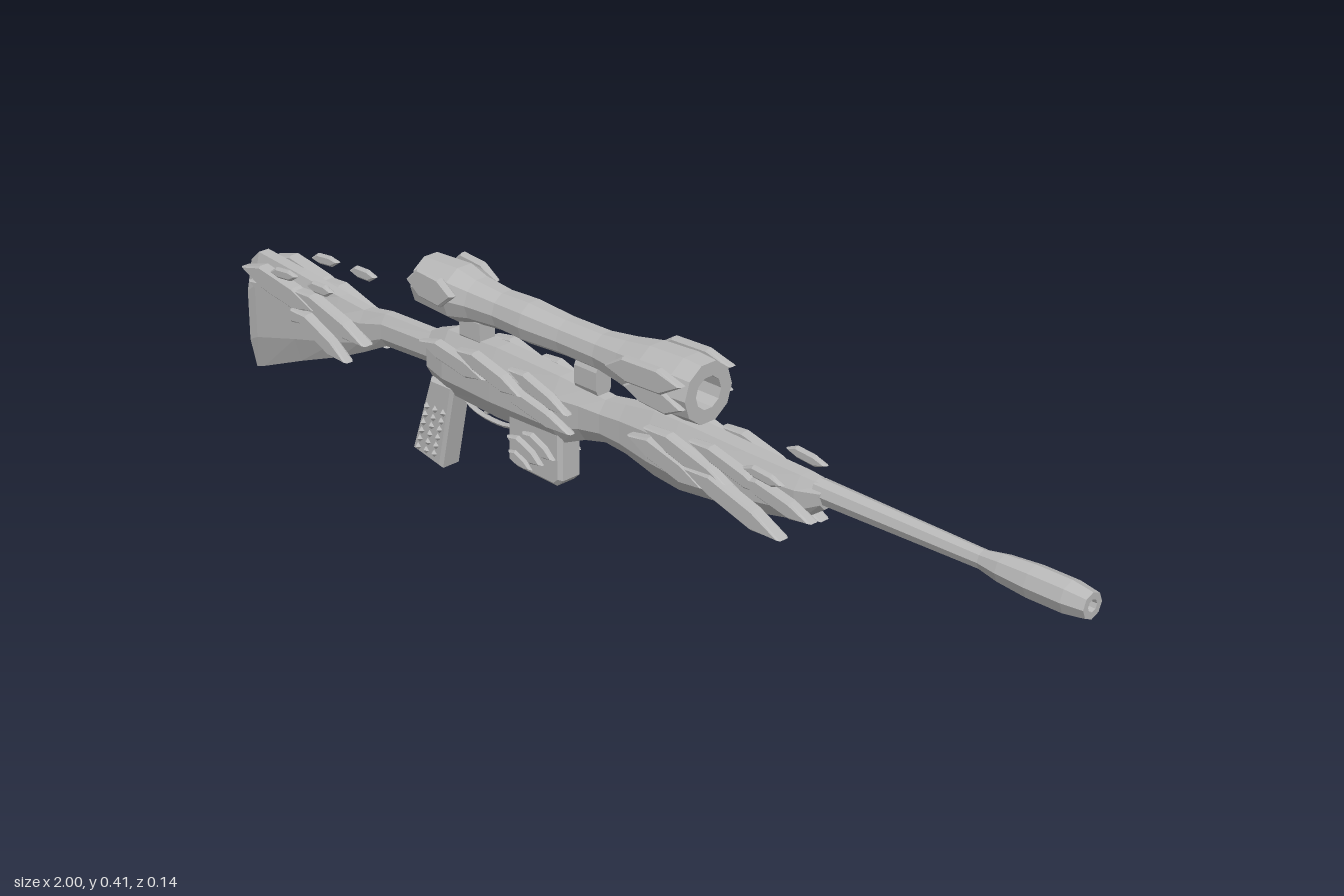
import * as THREE from 'three';

const gray = new THREE.MeshStandardMaterial({ color: 0xb8b8b8 });
gray.name = 'plain gray';
gray.flatShading = true;

function add(parent, name, geometry) {
  const mesh = new THREE.Mesh(geometry, gray);
  mesh.name = name;
  parent.add(mesh);
  return mesh;
}

// Eight-sided loft along x; each section is [x, bottom, top, half width]
function loft(sections) {
  const pos = [];
  const ring = ([x, y0, y1, w]) => {
    const c = (y0 + y1) / 2, h = (y1 - y0) / 2;
    return [[1, -0.45], [1, 0.45], [0.45, 1], [-0.45, 1], [-1, 0.45], [-1, -0.45], [-0.45, -1], [0.45, -1]]
      .map(([z, y]) => [x, c + y * h, z * w]);
  };
  const rings = sections.map(ring);
  const tri = (a, b, c) => pos.push(...a, ...b, ...c);
  for (let i = 0; i < rings.length - 1; i++) {
    for (let j = 0; j < 8; j++) {
      const k = (j + 1) % 8;
      const a = rings[i][j], b = rings[i][k], c = rings[i + 1][k], d = rings[i + 1][j];
      tri(a, d, c);
      tri(a, c, b);
    }
  }
  const first = rings[0], last = rings[rings.length - 1];
  for (let j = 1; j < 7; j++) {
    tri(first[0], first[j], first[j + 1]);
    tri(last[0], last[j + 1], last[j]);
  }
  const g = new THREE.BufferGeometry();
  g.setAttribute('position', new THREE.Float32BufferAttribute(pos, 3));
  g.computeVertexNormals();
  return g;
}

// Turned part along x; profile points are [x, radius]
function turned(profile, sides, y) {
  const g = new THREE.LatheGeometry(profile.map(([x, r]) => new THREE.Vector2(r, x)), sides);
  return g.rotateZ(-Math.PI / 2).translate(0, y, 0);
}

// Bevelled plate from an outline in x and y, between two depths
function plate(points, z0, z1, bevel) {
  const shape = new THREE.Shape(points.map(([x, y]) => new THREE.Vector2(x, y)));
  const g = new THREE.ExtrudeGeometry(shape, {
    depth: z1 - z0 - 2 * bevel, bevelEnabled: true, bevelThickness: bevel,
    bevelSize: bevel, bevelOffset: -bevel, bevelSegments: 1,
  });
  return g.translate(0, 0, z0 + bevel);
}

// Pointed leaf from tail to tip
function leafOutline(x0, y0, x1, y1, width) {
  const dx = x1 - x0, dy = y1 - y0, len = Math.hypot(dx, dy);
  const at = (t, s) => [x0 + dx * t - (dy / len) * s * width, y0 + dy * t + (dx / len) * s * width];
  return [at(0, 0), at(0.28, -0.42), at(0.72, -0.5), at(1, 0), at(0.7, 0.42), at(0.25, 0.5)];
}

function leafPair(parent, name, [x0, y0, x1, y1, width, z0, z1]) {
  const outline = leafOutline(x0, y0, x1, y1, width);
  add(parent, name + 'Left', plate(outline, z0, z1, 0.004));
  add(parent, name + 'Right', plate(outline, -z1, -z0, 0.004));
}

export function createModel() {
  const model = new THREE.Group();
  model.name = 'rifle';

  // Stock, receiver and fore-end
  add(model, 'stock', loft([
    [-1, 0.026, 0.25, 0.024], [-0.975, 0.035, 0.272, 0.026], [-0.86, 0.082, 0.262, 0.026],
    [-0.74, 0.128, 0.25, 0.025], [-0.67, 0.16, 0.244, 0.023], [-0.61, 0.19, 0.254, 0.021],
    [-0.46, 0.197, 0.258, 0.021],
  ]));
  add(model, 'receiver', loft([
    [-0.48, 0.172, 0.262, 0.026], [-0.43, 0.156, 0.28, 0.034], [-0.3, 0.15, 0.286, 0.037],
    [-0.14, 0.154, 0.282, 0.036], [-0.08, 0.18, 0.276, 0.031], [-0.03, 0.192, 0.272, 0.029],
    [0.02, 0.188, 0.28, 0.031], [0.09, 0.172, 0.292, 0.036], [0.15, 0.166, 0.293, 0.037],
    [0.3, 0.181, 0.288, 0.034], [0.42, 0.205, 0.286, 0.029], [0.47, 0.24, 0.283, 0.021],
  ]));

  // Barrel and hollow muzzle
  add(model, 'barrel', turned([[0.45, 0], [0.45, 0.022], [0.64, 0.019], [0.84, 0.016], [0.84, 0]], 8, 0.266));
  add(model, 'muzzle', turned([
    [0.78, 0.015], [0.83, 0.024], [0.89, 0.029], [0.96, 0.029], [1, 0.023],
    [1, 0.011], [0.9, 0.011], [0.9, 0],
  ], 8, 0.266));

  // Hollow scope and its mounts
  const scope = new THREE.Group();
  scope.name = 'scope';
  model.add(scope);
  add(scope, 'scopeTube', turned([
    [-0.49, 0.03], [-0.49, 0.05], [-0.4, 0.054], [-0.355, 0.043], [-0.29, 0.037], [-0.22, 0.04],
    [-0.13, 0.035], [-0.04, 0.036], [0.02, 0.044], [0.08, 0.055], [0.16, 0.059], [0.2, 0.056],
    [0.2, 0.03], [-0.49, 0.03],
  ], 10, 0.356));
  for (const x of [-0.37, -0.075]) {
    add(scope, 'scopeMount', loft([[x - 0.027, 0.262, 0.338, 0.018], [x + 0.027, 0.262, 0.338, 0.018]]));
  }
  leafPair(scope, 'rearScopeLeaf', [-0.492, 0.372, -0.37, 0.372, 0.058, 0.044, 0.06]);
  leafPair(scope, 'frontScopeLeaf', [0.02, 0.37, 0.2, 0.385, 0.048, 0.05, 0.068]);
  leafPair(scope, 'lowerScopeLeaf', [0.06, 0.345, 0.2, 0.342, 0.042, 0.05, 0.064]);

  // Grip with studded sides
  const grip = new THREE.Group();
  grip.name = 'grip';
  model.add(grip);
  add(grip, 'gripBody', plate([[-0.475, 0.175], [-0.53, 0.016], [-0.45, 0], [-0.412, 0.175]], -0.025, 0.025, 0.006));
  for (const side of [1, -1]) {
    for (let row = 0; row < 6; row++) {
      for (let col = 0; col < 3; col++) {
        const y = 0.026 + row * 0.018;
        const stud = add(grip, 'gripStud', new THREE.ConeGeometry(0.009, 0.008, 4));
        stud.rotation.x = side * Math.PI / 2;
        stud.position.set(-0.511 + col * 0.022 + row * 0.0055, y, side * 0.028);
      }
    }
  }

  // Magazine with side plates
  const magazine = new THREE.Group();
  magazine.name = 'magazine';
  model.add(magazine);
  add(magazine, 'magazineBody', plate(
    [[-0.265, 0.18], [-0.268, 0.082], [-0.245, 0.074], [-0.145, 0.071], [-0.13, 0.085], [-0.13, 0.18]],
    -0.027, 0.027, 0.007));
  [
    [-0.26, 0.135, -0.17, 0.105, 0.03, 0.024, 0.037],
    [-0.22, 0.155, -0.14, 0.125, 0.026, 0.024, 0.037],
    [-0.26, 0.105, -0.2, 0.085, 0.022, 0.024, 0.034],
  ].forEach((leaf) => leafPair(magazine, 'magazineLeaf', leaf));

  // Trigger and its guard
  const guardPath = new THREE.CatmullRomCurve3([
    [-0.42, 0.158], [-0.385, 0.137], [-0.33, 0.129], [-0.28, 0.135], [-0.255, 0.155],
  ].map(([x, y]) => new THREE.Vector3(x, y, 0)));
  add(model, 'triggerGuard', new THREE.TubeGeometry(guardPath, 10, 0.005, 5));
  add(model, 'trigger', plate([[-0.345, 0.165], [-0.352, 0.138], [-0.344, 0.138], [-0.33, 0.165]], -0.005, 0.005, 0.001));

  // Leaves down both sides of the rifle
  const leaves = new THREE.Group();
  leaves.name = 'sideLeaves';
  model.add(leaves);
  [
    // Stock
    [-0.985, 0.25, -0.77, 0.222, 0.048, 0.024, 0.05],
    [-0.97, 0.225, -0.79, 0.185, 0.04, 0.022, 0.046],
    [-0.83, 0.212, -0.67, 0.15, 0.036, 0.038, 0.06],
    [-0.84, 0.246, -0.63, 0.192, 0.036, 0.022, 0.048],
    [-0.89, 0.268, -0.81, 0.28, 0.022, 0.044, 0.056],
    [-0.78, 0.274, -0.705, 0.28, 0.024, 0.046, 0.058],
    // Receiver
    [-0.475, 0.256, -0.3, 0.232, 0.036, 0.03, 0.05],
    [-0.37, 0.272, -0.2, 0.234, 0.036, 0.034, 0.056],
    [-0.28, 0.236, -0.08, 0.2, 0.034, 0.035, 0.052],
    [-0.24, 0.274, -0.09, 0.232, 0.03, 0.032, 0.05],
    // Fore-end
    [0.06, 0.25, 0.24, 0.21, 0.04, 0.032, 0.054],
    [0.1, 0.278, 0.31, 0.226, 0.036, 0.034, 0.056],
    [0.2, 0.24, 0.42, 0.182, 0.04, 0.036, 0.062],
    [0.2, 0.285, 0.38, 0.245, 0.03, 0.03, 0.05],
    [0.31, 0.258, 0.475, 0.228, 0.032, 0.028, 0.05],
    [0.33, 0.284, 0.42, 0.28, 0.022, 0.046, 0.058],
  ].forEach((leaf) => leafPair(leaves, 'sideLeaf', leaf));

  return model;
}
